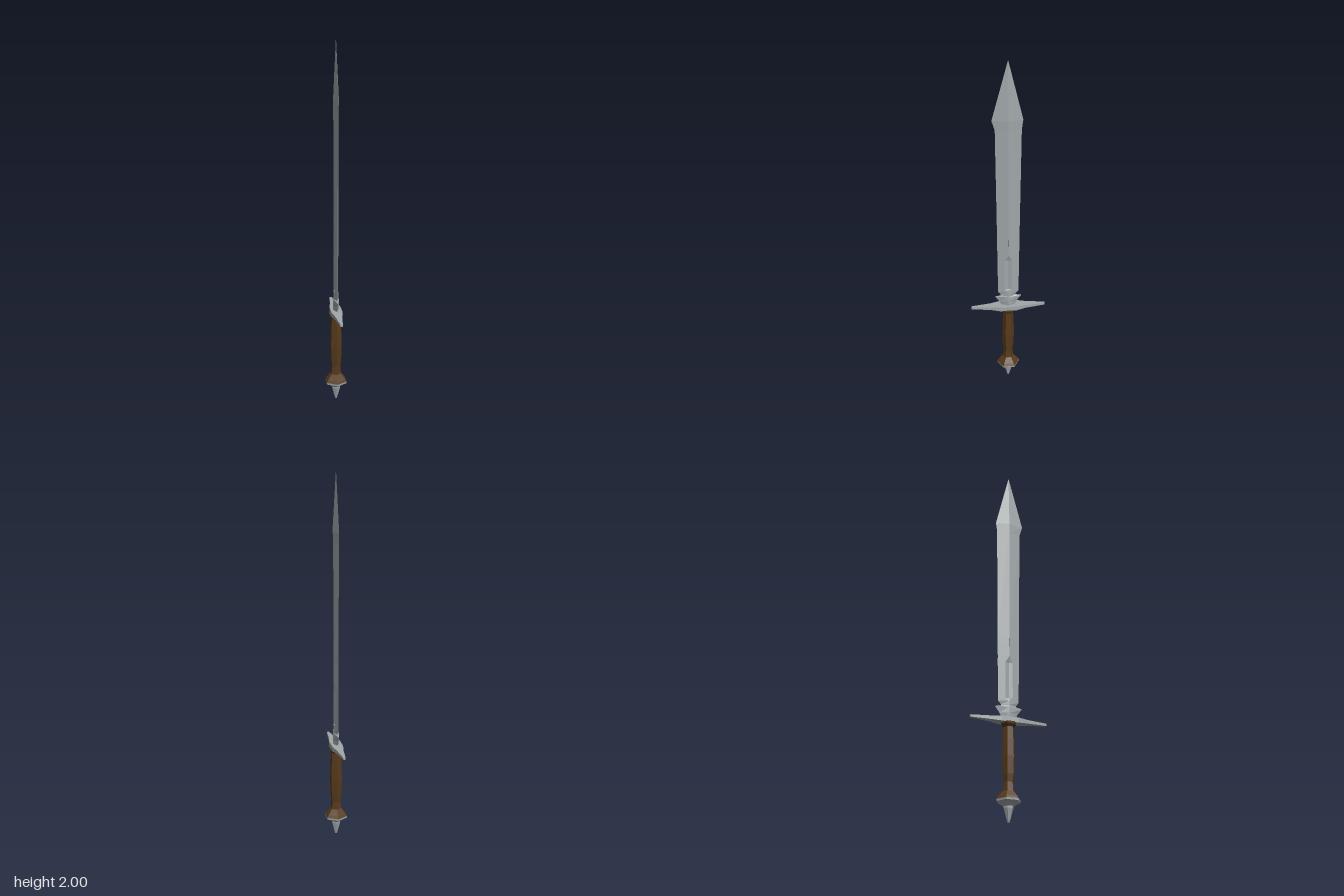
import * as THREE from 'three';

const steel = new THREE.MeshStandardMaterial({ color: 0xa0a7a9, flatShading: true });
steel.name = 'steel';
const leather = new THREE.MeshStandardMaterial({ color: 0x573a1b, flatShading: true });
leather.name = 'leather';

// Skins a list of equal-length rings of [x, y, z] points and caps both ends
function loft(rings) {
  const pos = [];
  const tri = (a, b, c) => pos.push(...a, ...b, ...c);
  const n = rings[0].length;
  for (let i = 0; i < rings.length - 1; i++) {
    const lo = rings[i], hi = rings[i + 1];
    for (let j = 0; j < n; j++) {
      const k = (j + 1) % n;
      tri(lo[j], lo[k], hi[k]);
      tri(lo[j], hi[k], hi[j]);
    }
  }
  const first = rings[0], last = rings[rings.length - 1];
  for (let j = 1; j < n - 1; j++) {
    tri(first[0], first[j + 1], first[j]);
    tri(last[0], last[j], last[j + 1]);
  }
  const g = new THREE.BufferGeometry();
  g.setAttribute('position', new THREE.Float32BufferAttribute(pos, 3));
  g.computeVertexNormals();
  return g;
}

// Diamond blade section; the ridge can sink into a groove of half-width gw
function bladeRing([y, front, back, ridge, gw = 0.004, depth = 0]) {
  const xf = ridge * (1 - gw / Math.max(front, 0.01));
  const xb = ridge * (1 - gw / Math.max(back, 0.01));
  const mid = ridge - depth;
  if (front === 0) return Array.from({ length: 8 }, () => [0, y, 0]);
  return [
    [0, y, front], [xf, y, gw], [mid, y, 0], [xb, y, -gw],
    [0, y, -back], [-xb, y, -gw], [-mid, y, 0], [-xf, y, gw],
  ];
}

// Six-sided turned section with corners pointing along z
function hexRing([y, r]) {
  return Array.from({ length: 6 }, (_, i) => {
    const a = (i * Math.PI) / 3;
    return [r * Math.sin(a), y, r * Math.cos(a)];
  });
}

function guardRing([z, w, lo, hi]) {
  return [[w, lo, z], [w, hi, z], [-w, hi, z], [-w, lo, z]];
}

export function createModel() {
  const sword = new THREE.Group();
  sword.name = 'sword';
  const add = (name, rings, material) => {
    const mesh = new THREE.Mesh(loft(rings), material);
    mesh.name = name;
    sword.add(mesh);
  };

  // Blade: flared base, notch, grooved body, leaf-shaped point
  add('blade', [
    [0.53, 0.036, 0.036, 0.017],
    [0.56, 0.05, 0.05, 0.017],
    [0.593, 0.074, 0.074, 0.016],
    [0.599, 0.042, 0.042, 0.015],
    [0.606, 0.042, 0.042, 0.015],
    [0.625, 0.056, 0.058, 0.014],
    [0.64, 0.056, 0.058, 0.014, 0.02, 0.002],
    [0.645, 0.056, 0.058, 0.014, 0.02, 0.01],
    [0.84, 0.058, 0.06, 0.014, 0.02, 0.01],
    [0.875, 0.058, 0.06, 0.014, 0.004, 0],
    [0.93, 0.059, 0.061, 0.014, 0.003, 0],
    [0.932, 0.059, 0.061, 0.014, 0.003, 0.006],
    [0.978, 0.059, 0.061, 0.014, 0.003, 0.006],
    [0.98, 0.059, 0.061, 0.014, 0.003, 0],
    [1.63, 0.066, 0.068, 0.014],
    [1.685, 0.082, 0.075, 0.015],
    [2.0, 0, 0, 0],
  ].map(bladeRing), steel);

  // Crossguard tapering towards both tips
  add('crossguard', [
    [-0.206, 0.006, 0.517, 0.529],
    [-0.1, 0.018, 0.513, 0.532],
    [-0.045, 0.03, 0.508, 0.535],
    [0.045, 0.03, 0.508, 0.535],
    [0.1, 0.018, 0.513, 0.532],
    [0.206, 0.006, 0.517, 0.529],
  ].map(guardRing), steel);

  // Grip with flared collar, swollen middle and flared foot
  add('grip', [
    [0.112, 0.064], [0.125, 0.055], [0.155, 0.03], [0.2, 0.026],
    [0.24, 0.031], [0.33, 0.034], [0.42, 0.031], [0.485, 0.028],
    [0.5, 0.04], [0.51, 0.042],
  ].map(hexRing), leather);

  // Pommel cap and spike
  add('pommelCap', [[0.08, 0.03], [0.09, 0.04], [0.102, 0.063], [0.112, 0.064]].map(hexRing), steel);
  add('pommelSpike', [[0, 0.005], [0.015, 0.01], [0.07, 0.025], [0.085, 0.025]].map(hexRing), steel);

  return sword;
}
